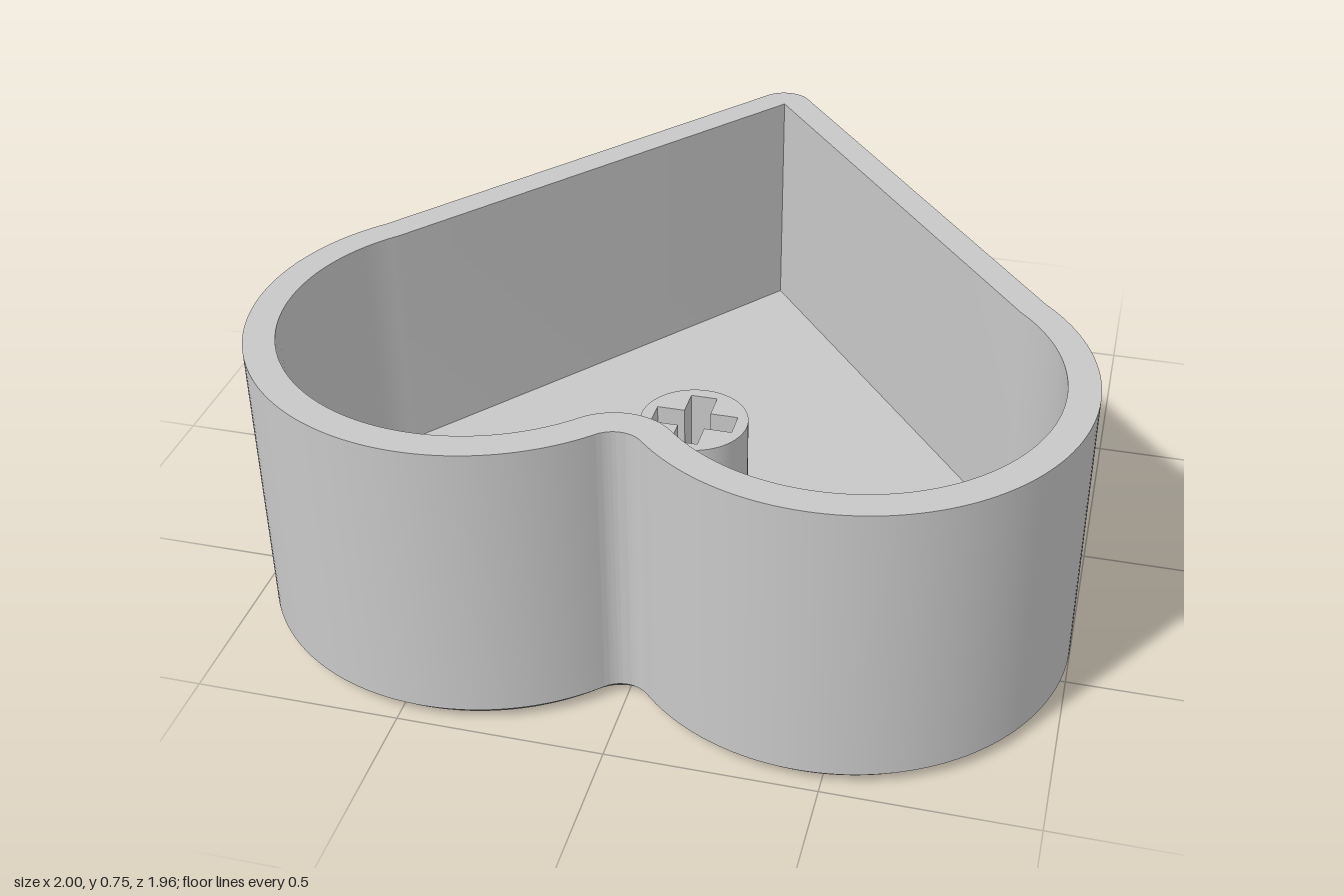
import * as THREE from 'three';
import { toCreasedNormals } from 'three/addons/utils/BufferGeometryUtils.js';

const WALL = 0.075, HEIGHT = 0.75, FLOOR = 0.135, BASE = 0.03;

// Heart cavity: two lobes, a pointed tip and a rounded notch (plan y = -z)
const LOBE = { x: 0.445, y: -0.42, r: 0.48 };
const TIP_Y = 0.91, NOTCH_Y = -0.715;
const gap = LOBE.y - NOTCH_Y;
const notchR = (LOBE.x ** 2 + gap ** 2 - LOBE.r ** 2) / (2 * (LOBE.r - gap));
const notchCY = NOTCH_Y - notchR;
const joint = Math.atan2(LOBE.y - notchCY, LOBE.x); // notch centre to right lobe
const rise = TIP_Y - LOBE.y;
const side = Math.atan2(rise, LOBE.x) - Math.acos(LOBE.r / Math.hypot(LOBE.x, rise)); 
const sideAngle = Math.abs(side) < 0.1 ? Math.PI / 4 : tangentAngle();

// Angle of the normal of the straight right side
function tangentAngle() {
  const d = Math.hypot(LOBE.x, rise);
  return Math.asin(LOBE.r / d) + Math.atan2(LOBE.x, rise);
}

// Heart outline grown outward by o
function heart(o, Type = THREE.Shape) {
  const s = new Type(), P = Math.PI, r = LOBE.r + o;
  s.absarc(LOBE.x, LOBE.y, r, joint - P, sideAngle, false);
  if (o > 0) s.absarc(0, TIP_Y, o, sideAngle, P - sideAngle, false);
  else s.lineTo(0, TIP_Y);
  s.absarc(-LOBE.x, LOBE.y, r, P - sideAngle, 2 * P - joint, false);
  s.absarc(0, notchCY, notchR - o, P - joint, joint, true);
  return s;
}

// Upright prism between two heights
function prism(shape, y0, y1) {
  const g = new THREE.ExtrudeGeometry(shape, { depth: y1 - y0, bevelEnabled: false, curveSegments: 40 });
  g.rotateX(-Math.PI / 2);
  g.translate(0, y0, 0);
  return toCreasedNormals(g, 0.6);
}

export function createModel() {
  const group = new THREE.Group();
  const grey = new THREE.MeshStandardMaterial({ color: 0xc8c8c8 });
  grey.name = 'light grey';
  const add = (name, geometry) => {
    const mesh = new THREE.Mesh(geometry, grey);
    mesh.name = name;
    group.add(mesh);
  };

  // Heart-shaped wall, open at the top
  const ring = heart(WALL);
  ring.holes.push(heart(0, THREE.Path));
  add('wall', prism(ring, BASE, HEIGHT));
  add('floor', prism(heart(0), BASE, FLOOR));

  // Thin steps narrowing toward the underside
  for (let i = 0; i < 3; i++) {
    add('baseStep' + (i + 1), prism(heart(WALL - 0.03 + i * 0.01), i * 0.01, (i + 1) * 0.01));
  }

  // Round post with a cross-shaped socket
  const post = new THREE.Shape().absarc(0, -0.145, 0.137, 0, Math.PI * 2, false);
  const a = 0.105, b = 0.034;
  const cross = [[a, b], [b, b], [b, a], [-b, a], [-b, b], [-a, b],
    [-a, -b], [-b, -b], [-b, -a], [b, -a], [b, -b], [a, -b]];
  post.holes.push(new THREE.Path(cross.map(([x, y]) => new THREE.Vector2(x, y - 0.145))));
  add('socketPost', prism(post, FLOOR, 0.36));

  return group;
}
